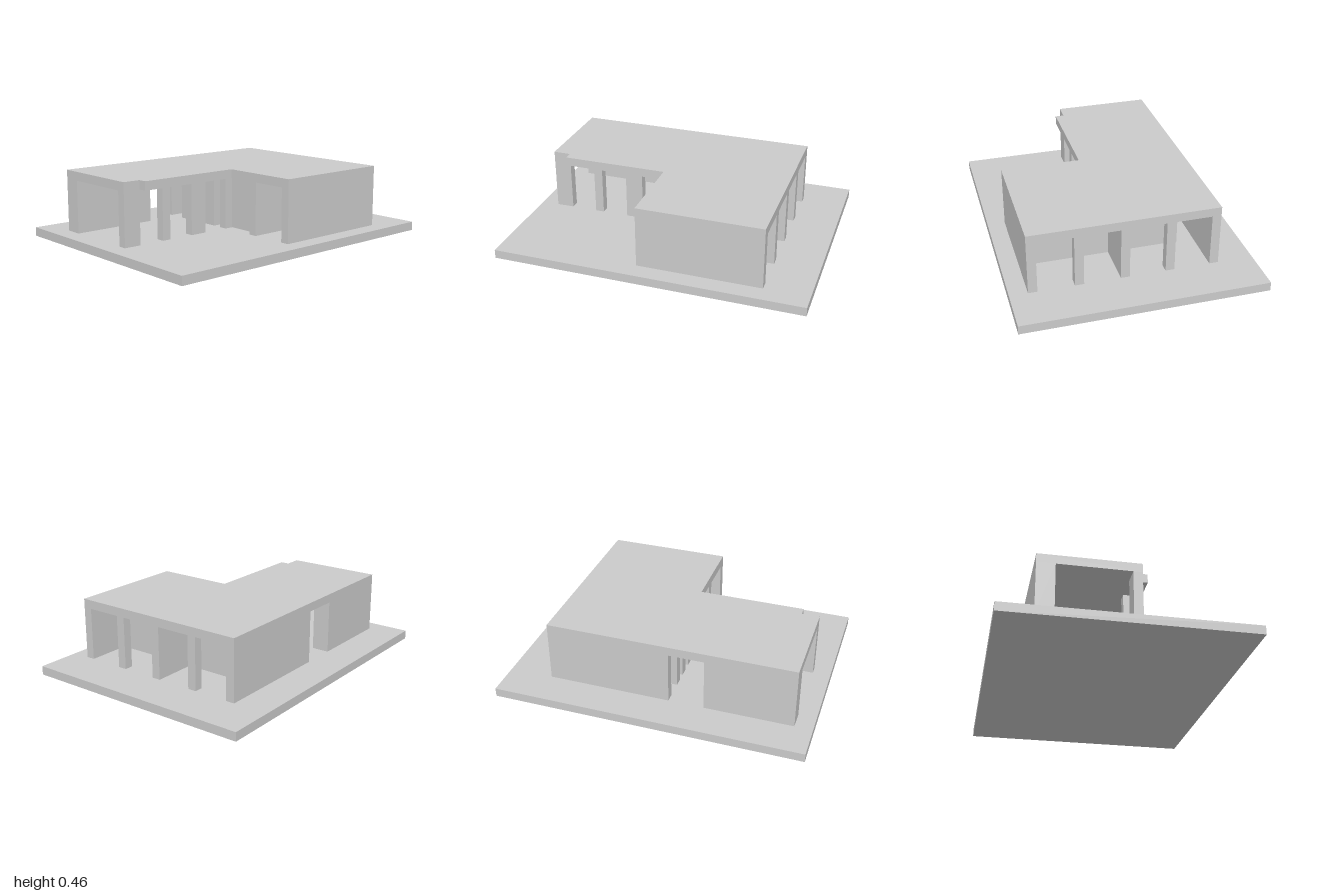
import * as THREE from 'three';

// One building module; all plan dimensions below are counted in it
const U = 2 / 35;
const FLOOR = 1, CEILING = 7, ROOF_TOP = 8;

export function createModel() {
  const model = new THREE.Group();
  const material = new THREE.MeshStandardMaterial({ color: 0xcccccc, flatShading: true });

  // Box given by its plan corners and heights
  function block(name, x0, x1, z0, z1, y0 = FLOOR, y1 = CEILING) {
    const geometry = new THREE.BoxGeometry((x1 - x0) * U, (y1 - y0) * U, (z1 - z0) * U);
    const mesh = new THREE.Mesh(geometry, material);
    mesh.position.set((x0 + x1) / 2 * U, (y0 + y1) / 2 * U, (z0 + z1) / 2 * U);
    mesh.name = name;
    model.add(mesh);
  }

  // Ground slab
  block('groundSlab', -13.5, 13.5, -17.5, 17.5, 0, FLOOR);

  // L-shaped flat roof with a stepped front corner
  const outline = [
    [-9.5, -12.5], [11.5, -12.5], [11.5, 1.5], [2.5, 1.5],
    [2.5, 13.5], [1.5, 13.5], [1.5, 15.5], [-9.5, 15.5],
  ].map(([x, z]) => new THREE.Vector2(x * U, -z * U));
  const roofGeometry = new THREE.ExtrudeGeometry(new THREE.Shape(outline), {
    depth: (ROOF_TOP - CEILING) * U, bevelEnabled: false,
  });
  roofGeometry.rotateX(-Math.PI / 2);
  const roof = new THREE.Mesh(roofGeometry, material);
  roof.position.y = CEILING * U;
  roof.name = 'roof';
  model.add(roof);

  // Outer walls
  block('leftWall', 10.5, 11.5, -12.5, 1.5);
  block('rightRearWall', -9.5, -8.5, -12.5, 1.5);
  block('rightFrontWall', -9.5, -7.5, 5.5, 15.5);

  // Columns along the back
  for (const x of [5.5, -4.5]) block('backColumn', x, x + 1, -12.5, -11.5);

  // Columns along the side of the front wing
  for (const [z0, z1] of [[13.5, 15.5], [9.5, 10.5], [4.5, 6.5], [0.5, 1.5]]) {
    block('wingColumn', 0.5, 1.5, z0, z1);
  }

  // Partitions of the rear rooms
  block('rearDivider', 0.5, 1.5, -12.5, -7.5);
  block('rearRoomWall', 0.5, 10.5, -7.5, -6.5);
  block('rearHallWall', -6.5, -0.5, -7.5, -6.5);

  // Partitions of the front rooms
  block('frontDivider', 5.5, 6.5, -3.5, 1.5);
  block('frontRoomWall', 0.5, 10.5, -4.5, -3.5);
  block('porchWall', 1.5, 5.5, -0.5, 0.5);

  // Piers inside the hall
  for (const [x0, x1] of [[-6.5, -5.5], [-4.5, -3.5], [-2.5, -0.5]]) {
    block('hallPier', x0, x1, 0.5, 1.5);
  }

  return model;
}
